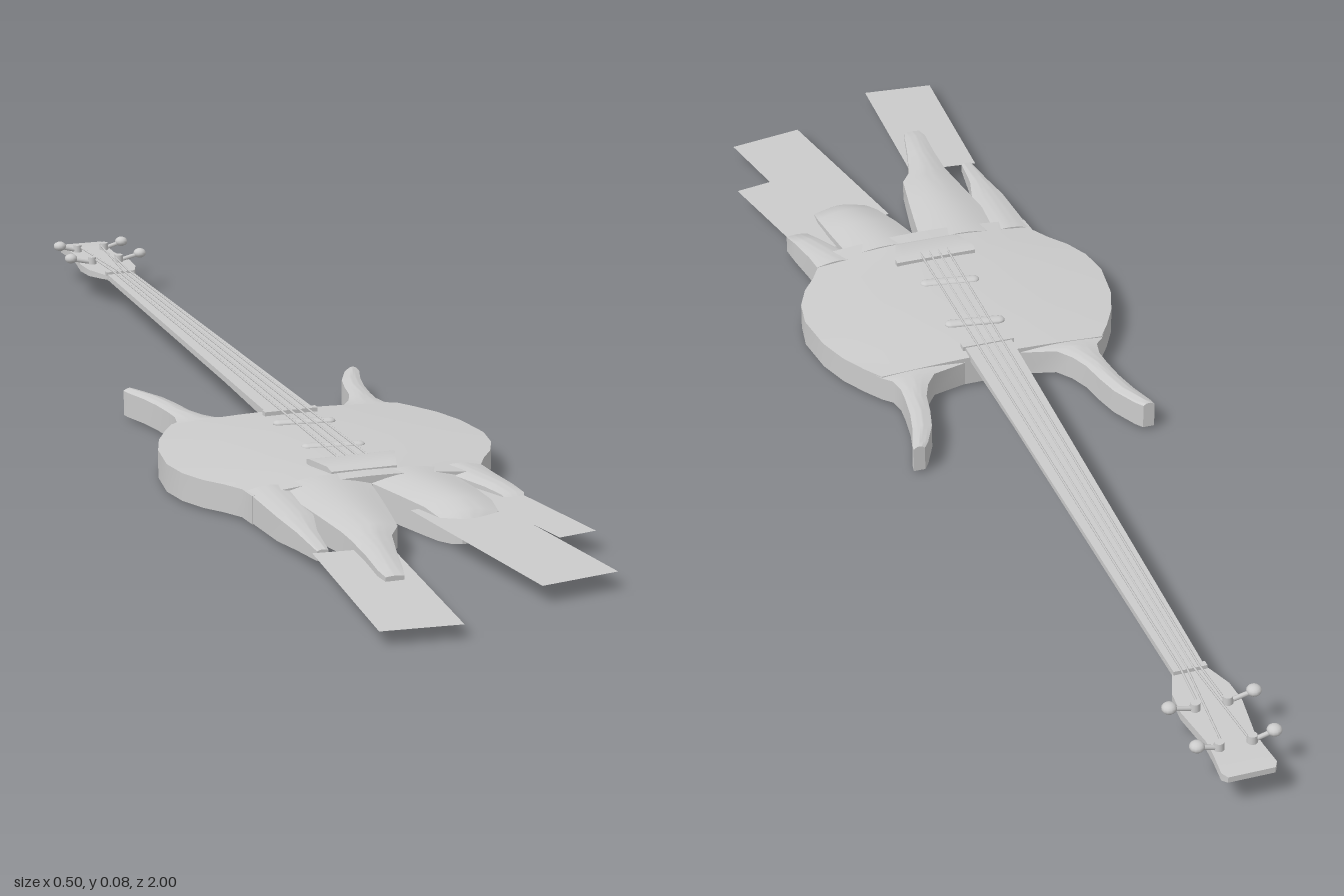
import * as THREE from 'three';
import { toCreasedNormals } from 'three/addons/utils/BufferGeometryUtils.js';

const grey = new THREE.MeshStandardMaterial({ color: 0xcccccc });
const sheet = new THREE.MeshStandardMaterial({ color: 0xcccccc, side: THREE.DoubleSide });

function add(parent, name, geometry, x = 0, y = 0, z = 0, material = grey) {
  const mesh = new THREE.Mesh(geometry, material);
  mesh.name = name;
  mesh.position.set(x, y, z);
  parent.add(mesh);
  return mesh;
}

// Loft along z. Station: [z, x0, x1, lowerRim, upperRim, crown, belly]
function loft(stations, crease = 0.7, steps = 10) {
  const pos = [], idx = [], n = 2 * (steps + 1);
  for (const [z, x0, x1, lo, hi, crown = 0, belly = 0] of stations) {
    for (let k = 0; k <= steps; k++) {
      const t = k / steps;
      pos.push(x0 + (x1 - x0) * t, lo - belly * Math.sin(Math.PI * t), z);
    }
    for (let k = 0; k <= steps; k++) {
      const t = k / steps;
      pos.push(x1 + (x0 - x1) * t, hi + crown * Math.sin(Math.PI * t), z);
    }
  }
  const last = (stations.length - 1) * n;
  for (let i = 0; i < last; i += n) {
    for (let k = 0; k < n; k++) {
      const a = i + k, b = i + (k + 1) % n;
      idx.push(a, b, a + n, b, b + n, a + n);
    }
  }
  // End caps, joined between the lower and upper edges
  for (let k = 0; k < steps; k++) {
    const a = k, b = k + 1, c = n - 2 - k, d = n - 1 - k;
    idx.push(a, c, b, a, d, c);
    idx.push(last + a, last + b, last + c, last + a, last + c, last + d);
  }
  const g = new THREE.BufferGeometry();
  g.setAttribute('position', new THREE.Float32BufferAttribute(pos, 3));
  g.setIndex(idx);
  return toCreasedNormals(g, crease);
}

// Thin flat quad from four corners
function quad(corners) {
  const g = new THREE.BufferGeometry();
  g.setAttribute('position', new THREE.Float32BufferAttribute(corners.flat(), 3));
  g.setIndex([0, 1, 2, 0, 2, 3]);
  g.computeVertexNormals();
  return g;
}

function rod(a, b, r, sides = 8) {
  return new THREE.TubeGeometry(new THREE.LineCurve3(new THREE.Vector3(...a), new THREE.Vector3(...b)), 1, r, sides);
}

export function createModel() {
  const model = new THREE.Group();
  model.name = 'bassGuitar';

  // Domed main body
  const outline = [[0.075, 0.165], [0.09, 0.18], [0.12, 0.2], [0.16, 0.222], [0.21, 0.239], [0.28, 0.248],
    [0.33, 0.24], [0.37, 0.222], [0.4, 0.2], [0.43, 0.183], [0.465, 0.18]];
  // The top edge dips between the horns, so the body starts just behind it
  add(model, 'body', loft(outline.slice(1).map(([z, w], i) => [z, -w, w, 0.005, 0.047, 0.006 + Math.min(i, 3) * 0.002])));

  // Curved horns either side of the neck
  const horn = [[-0.113, 0.175, 0.193], [-0.1, 0.166, 0.191], [-0.06, 0.147, 0.178], [-0.02, 0.137, 0.169],
    [0.02, 0.13, 0.164], [0.05, 0.118, 0.162], [0.075, 0.1, 0.167], [0.088, 0.05, 0.18], [0.1, 0.02, 0.187]];
  for (const s of [-1, 1]) {
    const stations = horn.map(([z, a, b]) => [z, Math.min(s * a, s * b), Math.max(s * a, s * b), 0.006, 0.045, 0.004]);
    add(model, s > 0 ? 'leftHorn' : 'rightHorn', loft(stations));
  }

  // Ragged tails at the lower end
  const tails = {
    outerRightTail: [[0.44, -0.18, -0.11, 0.005, 0.047, 0.006], [0.56, -0.175, -0.122, 0.009, 0.044, 0.004],
      [0.62, -0.168, -0.138, 0.014, 0.04, 0.003], [0.69, -0.163, -0.146, 0.02, 0.034, 0.002]],
    innerRightTail: [[0.44, -0.14, 0.02, 0.005, 0.047, 0.012], [0.47, -0.13, -0.001, 0.005, 0.047, 0.012],
      [0.53, -0.127, -0.01, 0.006, 0.047, 0.011], [0.58, -0.121, -0.018, 0.008, 0.046, 0.01],
      [0.65, -0.113, -0.03, 0.012, 0.044, 0.008], [0.68, -0.111, -0.05, 0.015, 0.042, 0.007],
      [0.74, -0.112, -0.066, 0.018, 0.04, 0.005], [0.8, -0.116, -0.08, 0.021, 0.037, 0.003],
      [0.823, -0.113, -0.086, 0.024, 0.034, 0.001]],
    innerLeftTail: [[0.44, -0.02, 0.14, 0.005, 0.047, 0.012], [0.47, 0.003, 0.128, 0.004, 0.047, 0.011],
      [0.53, 0.02, 0.135, 0.002, 0.046, 0.011], [0.58, 0.037, 0.139, 0.001, 0.043, 0.01],
      [0.61, 0.047, 0.137, 0.001, 0.036, 0.008], [0.63, 0.058, 0.115, 0.002, 0.028, 0.005],
      [0.642, 0.07, 0.09, 0.004, 0.018, 0.002]],
    outerLeftTail: [[0.43, 0.11, 0.184, 0.005, 0.047, 0.006], [0.465, 0.128, 0.187, 0.006, 0.046, 0.005],
      [0.52, 0.153, 0.196, 0.008, 0.043, 0.004], [0.55, 0.166, 0.201, 0.012, 0.039, 0.002], [0.562, 0.174, 0.196, 0.016, 0.03]],
  };
  for (const [name, stations] of Object.entries(tails)) add(model, name, loft(stations));

  // Flat sheets trailing from the tails
  const sheets = [
    [[-0.17, 0.032, 0.69], [-0.185, 0.022, 0.99], [-0.07, 0.022, 1], [-0.058, 0.032, 0.7]],
    [[0.02, 0.037, 0.57], [0.08, 0.027, 0.905], [0.2, 0.027, 0.883], [0.14, 0.037, 0.545]],
    [[0.125, 0.037, 0.5], [0.175, 0.033, 0.74], [0.235, 0.033, 0.728], [0.186, 0.037, 0.49]],
  ];
  sheets.forEach((c, i) => add(model, `trailingSheet${i + 1}`, quad(c), 0, 0, 0, sheet));

  // Neck, round underneath, with a flat fingerboard
  add(model, 'neck', loft([[-0.79, -0.023, 0.023, 0.049, 0.054, 0, 0.01], [-0.1, -0.032, 0.032, 0.047, 0.054, 0, 0.012],
    [0.12, -0.037, 0.037, 0.045, 0.054, 0, 0.014]]));
  add(model, 'fingerboard', loft([[-0.77, -0.023, 0.023, 0.053, 0.058], [0.12, -0.038, 0.038, 0.053, 0.059]]));
  add(model, 'fingerboardEnd', new THREE.BoxGeometry(0.084, 0.012, 0.012), 0, 0.055, 0.115);

  // Headstock
  add(model, 'headstock', loft([[-1, -0.034, 0.034, 0.046, 0.055], [-0.99, -0.04, 0.04, 0.044, 0.056],
    [-0.95, -0.036, 0.036, 0.043, 0.056, 0, 0.002], [-0.92, -0.035, 0.035, 0.043, 0.056, 0, 0.003],
    [-0.85, -0.045, 0.045, 0.044, 0.056, 0, 0.005], [-0.81, -0.042, 0.042, 0.045, 0.056, 0, 0.006],
    [-0.78, -0.031, 0.031, 0.047, 0.056, 0, 0.007], [-0.76, -0.023, 0.023, 0.049, 0.056, 0, 0.007]]));
  add(model, 'nut', new THREE.BoxGeometry(0.05, 0.006, 0.01), 0, 0.059, -0.765);

  // Tuners: post, shaft and button
  for (const z of [-0.94, -0.85]) {
    for (const s of [-1, 1]) {
      const tuner = new THREE.Group();
      tuner.name = 'tuner';
      const reach = z < -0.9 ? 0.056 : 0.062;
      add(tuner, 'post', new THREE.CylinderGeometry(0.007, 0.008, 0.016, 12), s * 0.024, 0.06, z);
      add(tuner, 'shaft', rod([s * 0.024, 0.058, z], [s * reach, 0.067, z], 0.0035));
      add(tuner, 'button', new THREE.SphereGeometry(0.011, 12, 8), s * reach, 0.068, z).scale.set(1, 0.75, 1);
      model.add(tuner);
    }
  }

  // Four strings from posts to bridge
  for (let i = 0; i < 4; i++) {
    const u = i - 1.5;
    const pts = [[u < 0 ? -0.019 : 0.019, 0.063, Math.abs(u) > 1 ? -0.85 : -0.94], [u * 0.009, 0.063, -0.765], [u * 0.015, 0.066, 0.39]];
    for (let k = 0; k < 2; k++) add(model, `string${i + 1}`, rod(pts[k], pts[k + 1], 0.0016, 6));
  }

  // Slanted rounded pickups
  for (const z of [0.178, 0.305]) {
    const pickup = add(model, 'pickup', new THREE.CapsuleGeometry(0.01, 0.075, 6, 12), 0, 0.058, z);
    pickup.rotation.set(0, -0.15, Math.PI / 2);
    pickup.scale.x = 0.5;
  }

  // Tapered bridge
  add(model, 'bridge', loft([[0.375, -0.066, 0.066, 0.045, 0.064], [0.385, -0.066, 0.066, 0.045, 0.067],
    [0.425, -0.053, 0.053, 0.045, 0.066], [0.436, -0.05, 0.05, 0.045, 0.061]]));
  return model;
}
